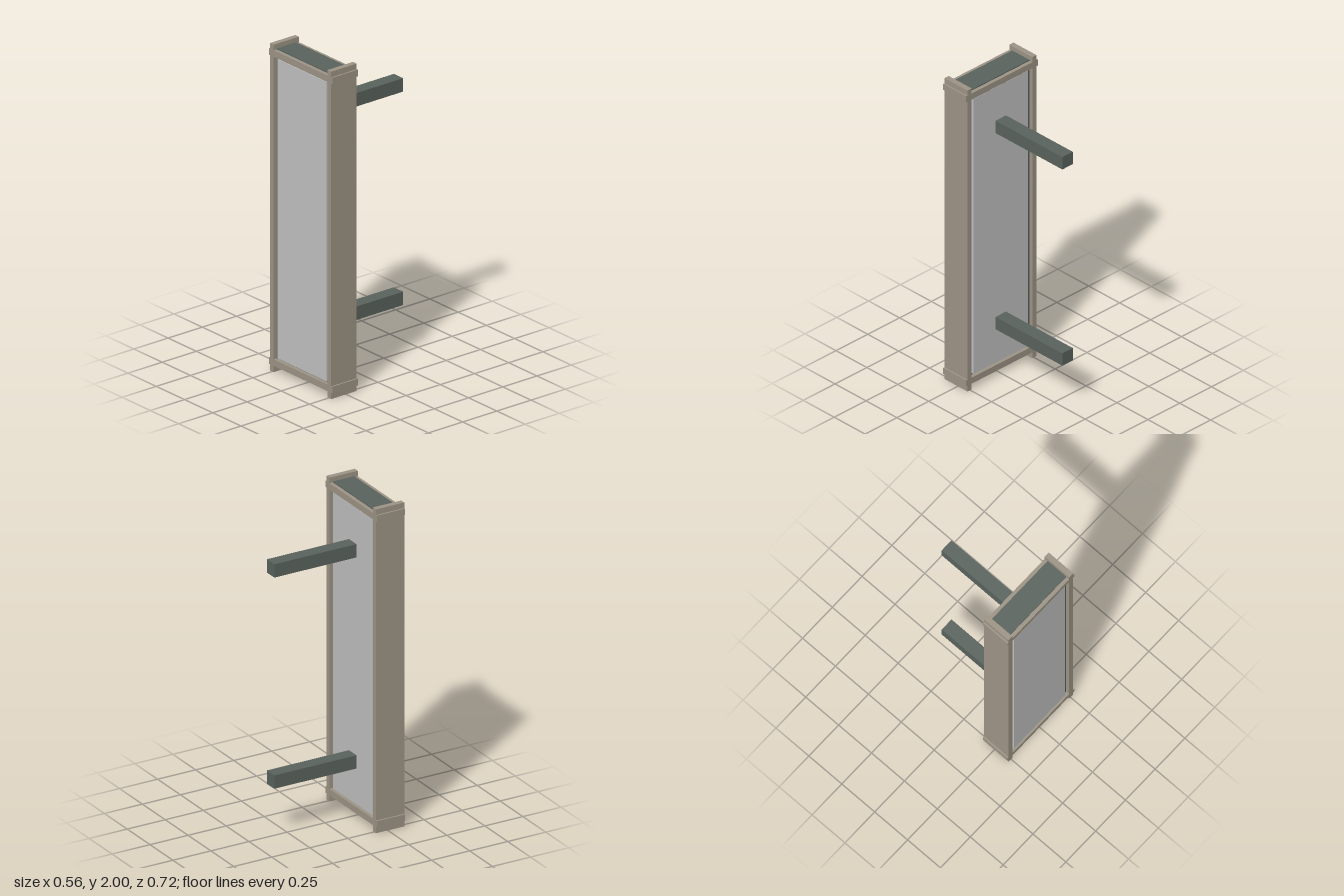
import * as THREE from 'three';

export function createModel() {
  const model = new THREE.Group();
  model.name = 'wallLamp';

  const material = (name, color) => {
    const m = new THREE.MeshStandardMaterial({ color });
    m.name = name;
    return m;
  };
  const tan = material('tanFrame', 0x9d9485);
  const dark = material('darkMetal', 0x5a635e);
  const pale = material('palePanel', 0xc0c0c0);

  // Box given by its lower and upper limits on each axis
  const box = (name, mat, [x0, x1], [y0, y1], [z0, z1]) => {
    const mesh = new THREE.Mesh(new THREE.BoxGeometry(x1 - x0, y1 - y0, z1 - z0), mat);
    mesh.position.set((x0 + x1) / 2, (y0 + y1) / 2, (z0 + z1) / 2);
    mesh.name = name;
    model.add(mesh);
  };

  const back = 0.172, front = 0.358, rail = 0.023;
  const levels = [[0.038, 0.078], [1.926, 1.966]];

  // Dark inner case
  box('innerCase', dark, [-0.238, 0.238], [0.03, 1.972], [back + rail, front - rail]);

  // Side boards, with a raised cleat near each end
  for (const s of [-1, 1]) {
    const span = (a, b) => (s > 0 ? [a, b] : [-b, -a]);
    box('sideBoard', tan, span(0.238, 0.271), [0, 2], [back, front]);
    for (const y of levels) box('sideCleat', tan, span(0.271, 0.281), y, [back, front]);
  }

  // Cross rails on the front and back
  for (const y of levels) {
    box('backRail', tan, [-0.238, 0.238], y, [back, back + rail]);
    box('frontRail', tan, [-0.238, 0.238], y, [front - rail, front]);
  }

  // Pale panels standing slightly proud of the case
  box('frontPanel', pale, [-0.216, 0.216], [0.088, 1.916], [front - rail, front - 0.01]);
  box('backPanel', pale, [-0.216, 0.216], [0.088, 1.916], [back + 0.01, back + rail]);

  // Square mounting arms
  for (const y of [0.35, 1.654]) {
    box('mountingArm', dark, [-0.041, 0.041], [y - 0.041, y + 0.041], [-0.358, back + 0.01]);
  }

  return model;
}
